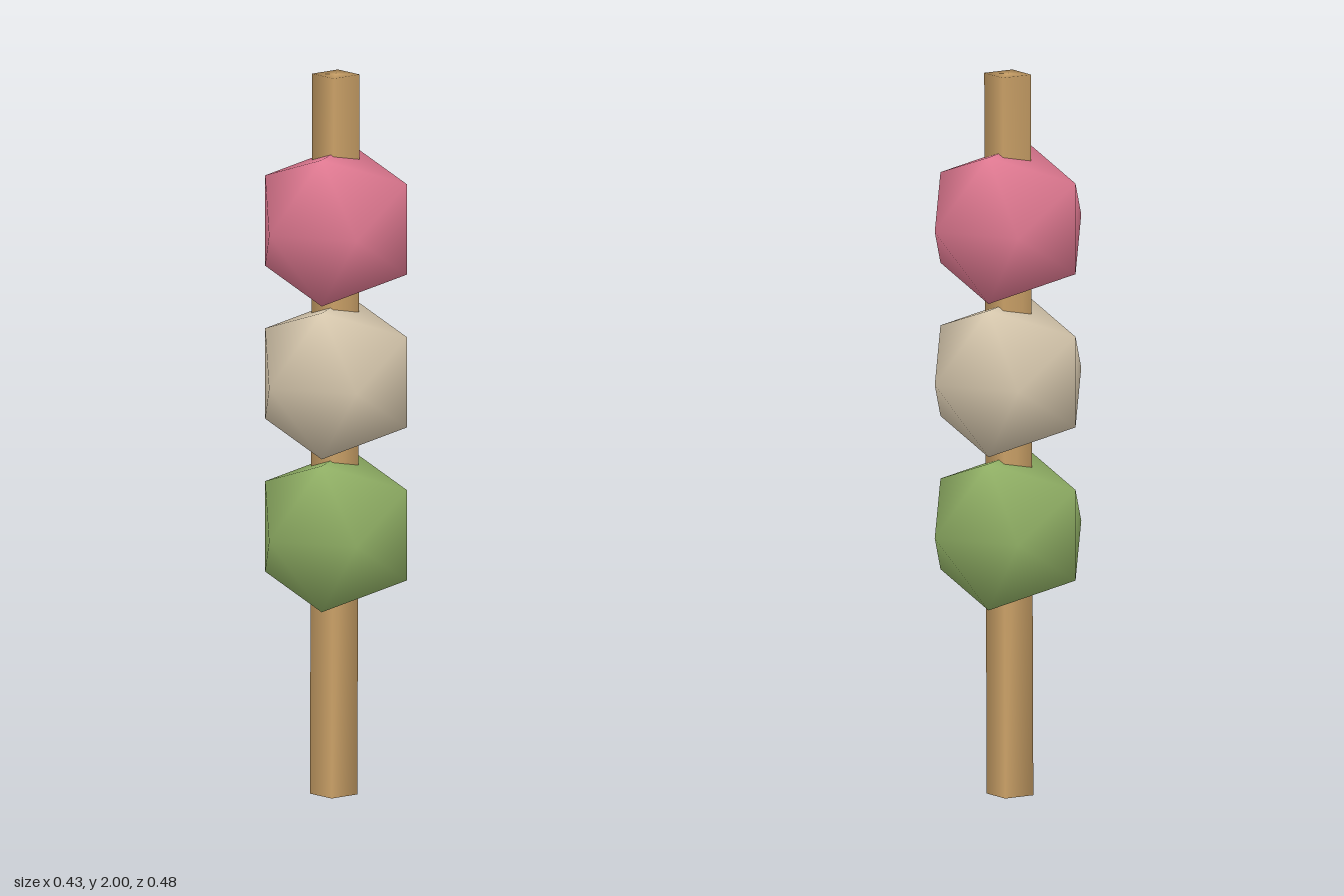
import * as THREE from 'three';
import { mergeVertices } from 'three/addons/utils/BufferGeometryUtils.js';

const material = (name, color) => new THREE.MeshStandardMaterial({ name, color });

// Share vertices so the coarse shape gets fully smooth normals
function smooth(geometry) {
  geometry.deleteAttribute('uv');
  geometry.deleteAttribute('normal');
  const merged = mergeVertices(geometry, 1e-4);
  merged.computeVertexNormals();
  return merged;
}

// Icosahedron with its two poles on the z axis: pole, two staggered rings of five, pole
function dumplingGeometry(radius) {
  const ringR = (2 * radius) / Math.sqrt(5);
  const ringZ = radius / Math.sqrt(5);
  const points = [0, 0, radius];
  for (const [z, offset] of [[ringZ, 0], [-ringZ, Math.PI / 5]]) {
    for (let i = 0; i < 5; i++) {
      const a = offset + (i * Math.PI * 2) / 5;
      points.push(ringR * Math.cos(a), ringR * Math.sin(a), z);
    }
  }
  points.push(0, 0, -radius);

  const index = [];
  for (let i = 0; i < 5; i++) {
    const f0 = 1 + i, f1 = 1 + ((i + 1) % 5);
    const b0 = 6 + i, b1 = 6 + ((i + 1) % 5);
    index.push(0, f0, f1, f0, b0, f1, f1, b0, b1, 11, b1, b0);
  }
  const geometry = new THREE.BufferGeometry();
  geometry.setAttribute('position', new THREE.Float32BufferAttribute(points, 3));
  geometry.setIndex(index);
  geometry.computeVertexNormals();
  return geometry;
}

export function createModel() {
  const model = new THREE.Group();
  model.name = 'dumplingSkewer';

  // Square skewer, leaning very slightly backwards
  const r = 0.046 * Math.SQRT2;
  const stick = smooth(new THREE.CylinderGeometry(r, r, 2, 4, 1, false, Math.PI / 4));
  stick.applyMatrix4(new THREE.Matrix4().makeShear(0, 0, 0, -0.004, 0, 0));
  stick.computeVertexNormals();
  const skewer = new THREE.Mesh(stick, material('wood', 0xcca268));
  skewer.name = 'skewer';
  skewer.position.set(-0.01, 1, -0.004);
  model.add(skewer);

  // Three dumplings threaded on the skewer
  const geometry = dumplingGeometry(0.239);
  const dumplings = [
    ['greenDumpling', 0.733, material('green', 0x8fae64)],
    ['creamDumpling', 1.158, material('cream', 0xd5c6ac)],
    ['pinkDumpling', 1.583, material('pink', 0xde7890)],
  ];
  for (const [name, y, mat] of dumplings) {
    const ball = new THREE.Mesh(geometry, mat);
    ball.name = name;
    ball.position.y = y;
    model.add(ball);
  }
  return model;
}
